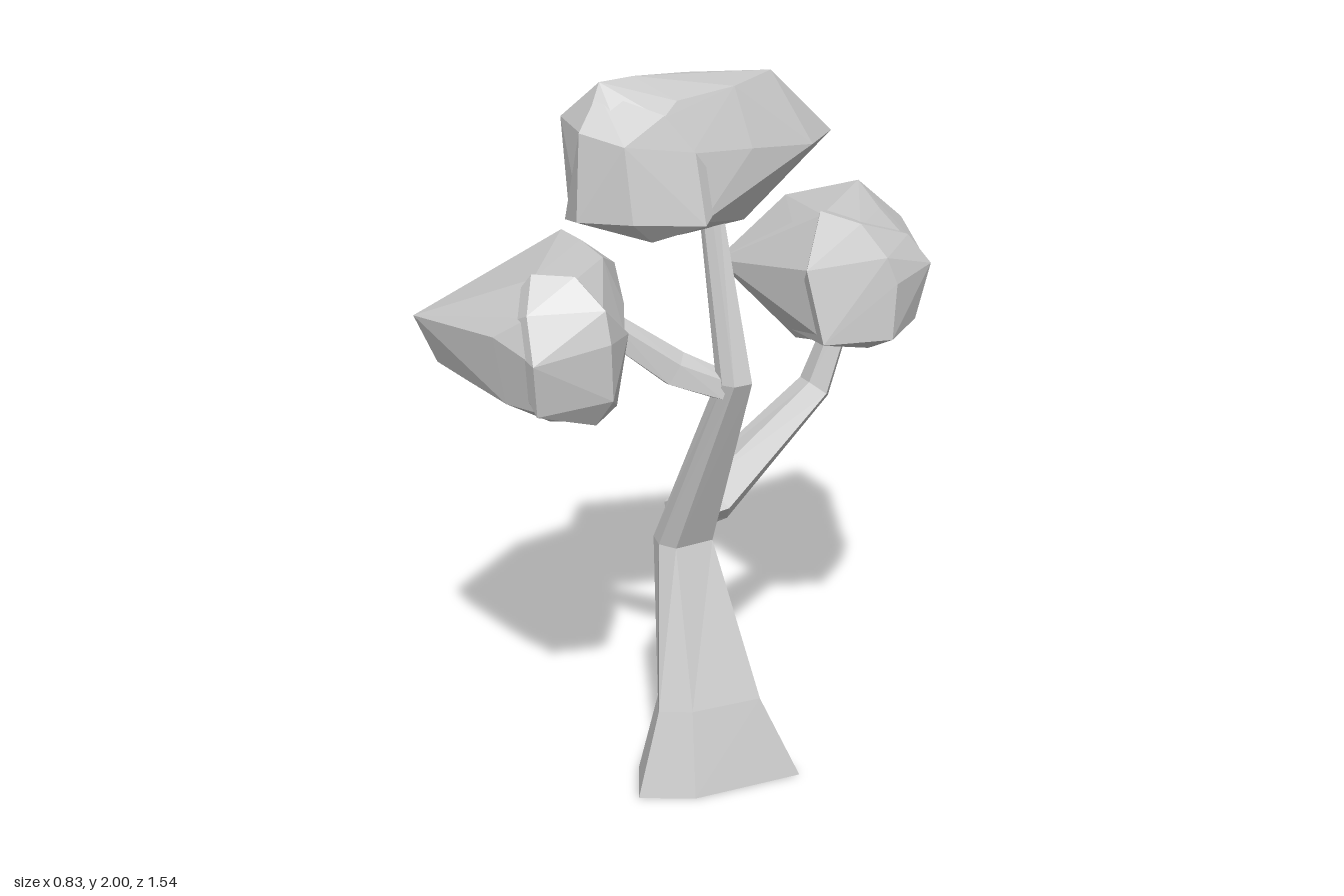
import * as THREE from 'three';
import { ConvexGeometry } from 'three/addons/geometries/ConvexGeometry.js';

const material = new THREE.MeshStandardMaterial({ color: 0xcccccc, flatShading: true });
const V = (x, y, z) => new THREE.Vector3(x, y, z);

function addMesh(parent, name, geometry) {
  const mesh = new THREE.Mesh(geometry, material);
  mesh.name = name;
  parent.add(mesh);
}

// Skin between rings of equal size, listed from bottom to top, with both ends capped
function loft(rings) {
  const tris = [];
  const n = rings[0].length;
  for (let r = 0; r < rings.length - 1; r++) {
    const a = rings[r], b = rings[r + 1];
    for (let i = 0; i < n; i++) {
      const j = (i + 1) % n;
      tris.push(a[i], b[i], a[j], a[j], b[i], b[j]);
    }
  }
  const first = rings[0], last = rings[rings.length - 1];
  for (let i = 1; i < n - 1; i++) {
    tris.push(first[0], first[i], first[i + 1], last[0], last[i + 1], last[i]);
  }
  const geometry = new THREE.BufferGeometry().setFromPoints(tris);
  geometry.computeVertexNormals();
  return geometry;
}

// Tapered branch through stations [x, y, z, radius]
function limb(stations, sides = 5) {
  const centres = stations.map(([x, y, z]) => V(x, y, z));
  const rings = stations.map((s, k) => {
    const ahead = centres[Math.min(k + 1, centres.length - 1)];
    const behind = centres[Math.max(k - 1, 0)];
    const turn = new THREE.Quaternion().setFromUnitVectors(V(0, 1, 0), ahead.clone().sub(behind).normalize());
    return Array.from({ length: sides }, (_, i) => {
      const t = (i / sides) * Math.PI * 2;
      return V(Math.cos(t) * s[3], 0, Math.sin(t) * s[3]).applyQuaternion(turn).add(centres[k]);
    });
  });
  return loft(rings);
}

// Faceted leaf mass: a body that reaches into a blunt lump, leaving a shallow crease around it
function crown(parent, name, body, lump) {
  const group = new THREE.Group();
  group.name = name;
  const bodyPoints = body.map((p) => V(...p));
  const lumpPoints = lump.map((p) => V(...p));
  const centre = new THREE.Box3().setFromPoints(lumpPoints).getCenter(V(0, 0, 0));
  const core = lumpPoints.map((p) => p.clone().lerp(centre, 0.06));
  addMesh(group, name + 'Body', new ConvexGeometry([...bodyPoints, ...core]));
  addMesh(group, name + 'Lump', new ConvexGeometry(lumpPoints));
  parent.add(group);
}

export function createModel() {
  const tree = new THREE.Group();
  tree.name = 'tree';

  // Leaning trunk: each section is a height and six [x, z] corners, the last a groove at the back
  const sections = [
    [0, [[0.34, -0.05], [0.25, 0.25], [0.15, 0.37], [0.03, 0.28], [-0.11, 0.06], [0.17, 0.03]]],
    [0.24, [[0.26, 0.03], [0.2, 0.22], [0.14, 0.29], [0.07, 0.24], [-0.02, 0.09], [0.16, 0.06]]],
    [0.68, [[0.1, 0.07], [0.08, 0.18], [0.03, 0.2], [-0.02, 0.18], [-0.07, 0.09], [0.04, 0.07]]],
    [1.22, [[0.32, 0.12], [0.31, 0.17], [0.28, 0.185], [0.25, 0.18], [0.225, 0.13], [0.28, 0.115]]],
    [1.75, [[0.18, 0.125], [0.18, 0.155], [0.16, 0.165], [0.14, 0.16], [0.13, 0.13], [0.16, 0.12]]],
  ];
  addMesh(tree, 'trunk', loft(sections.map(([y, ring]) => ring.map(([x, z]) => V(x, y, z)))));

  // Side branches
  addMesh(tree, 'backBranch', limb([
    [0.02, 0.74, 0.13, 0.055], [0.01, 0.755, 0.0, 0.08], [0.05, 1.01, -0.34, 0.05], [0.09, 1.3, -0.43, 0.03],
  ]));
  addMesh(tree, 'frontBranch', limb([
    [0.26, 1.2, 0.155, 0.04], [0.17, 1.245, 0.25, 0.05], [0.08, 1.36, 0.38, 0.04],
  ]));

  // Back crown
  crown(tree, 'backCrown', [
    [-0.25, 1.36, -0.77], [-0.27, 1.36, -0.5], [-0.13, 1.38, -0.13], [-0.01, 1.42, -0.71],
    [-0.13, 1.5, -0.6], [0.02, 1.57, -0.51], [0.18, 1.54, -0.44], [0.22, 1.4, -0.55],
    [-0.1, 1.53, -0.35], [0.1, 1.53, -0.2], [-0.1, 1.2, -0.58], [0.12, 1.2, -0.54],
    [-0.12, 1.22, -0.3], [0.1, 1.2, -0.22], [0.25, 1.24, -0.4], [0.2, 1.4, -0.16],
    [0.28, 1.45, -0.49], [0.34, 1.4, -0.46],
  ], [
    [0.22, 1.59, -0.19], [0.32, 1.57, -0.24], [0.39, 1.49, -0.27], [0.41, 1.42, -0.29],
    [0.41, 1.27, -0.28], [0.31, 1.26, -0.13], [0.25, 1.45, -0.12], [0.34, 1.42, -0.48],
    [0.3, 1.5, -0.43], [0.33, 1.27, -0.44], [0.3, 1.21, -0.3], [0.05, 1.4, -0.3], [0.1, 1.23, -0.2],
    [0.15, 1.56, -0.3],
  ]);

  // Front crown
  crown(tree, 'frontCrown', [
    [-0.42, 1.34, 0.13], [-0.4, 1.37, 0.41], [-0.22, 1.4, 0.77], [-0.19, 1.42, 0.17],
    [-0.23, 1.53, 0.31], [-0.1, 1.54, 0.34], [0.02, 1.54, 0.58], [0.08, 1.42, 0.73],
    [-0.33, 1.21, 0.32], [-0.25, 1.17, 0.6], [-0.2, 1.27, 0.72], [0.08, 1.24, 0.7],
    [-0.2, 1.2, 0.24], [-0.25, 1.28, 0.19], [0.12, 1.18, 0.6], [0.12, 1.2, 0.42],
    [0.05, 1.54, 0.38], [0.08, 1.42, 0.34], [0.18, 1.5, 0.5], [0.2, 1.36, 0.68],
  ], [
    [0.12, 1.57, 0.64], [0.2, 1.57, 0.57], [0.28, 1.5, 0.54], [0.3, 1.42, 0.54],
    [0.29, 1.27, 0.53], [0.23, 1.19, 0.54], [0.22, 1.38, 0.71], [0.2, 1.24, 0.69],
    [0.17, 1.49, 0.69], [0.22, 1.4, 0.43], [0.18, 1.2, 0.44], [0.0, 1.4, 0.5], [0.02, 1.42, 0.7],
    [0.02, 1.19, 0.6],
  ]);

  // Top crown
  crown(tree, 'topCrown', [
    [0.11, 1.76, -0.32], [0.24, 1.78, -0.14], [0.29, 1.82, 0.1], [-0.08, 1.77, -0.12],
    [-0.22, 1.81, 0.26], [0.11, 1.95, -0.11], [0.03, 1.96, 0.1], [0.03, 1.97, 0.36],
    [0.12, 2.0, 0.33], [0.12, 2.0, 0.43], [0.22, 1.96, 0.1], [0.25, 1.96, 0.3],
    [0.0, 1.9, 0.46], [-0.03, 1.61, 0.22], [0.02, 1.65, 0.45], [0.1, 1.6, -0.05],
    [0.2, 1.61, 0.05], [0.2, 1.61, 0.25], [0.0, 1.6, 0.05], [0.28, 1.72, 0.2],
  ], [
    [0.36, 1.68, 0.3], [0.31, 1.73, 0.2], [0.32, 1.85, 0.3], [0.28, 1.94, 0.36],
    [0.3, 1.7, 0.47], [0.27, 1.88, 0.47], [0.17, 1.69, 0.54], [0.16, 1.9, 0.52],
    [0.05, 1.66, 0.49], [0.13, 1.98, 0.44], [0.2, 1.62, 0.27], [0.06, 1.63, 0.3],
    [0.28, 1.64, 0.4], [0.1, 1.8, 0.3],
  ]);

  return tree;
}
